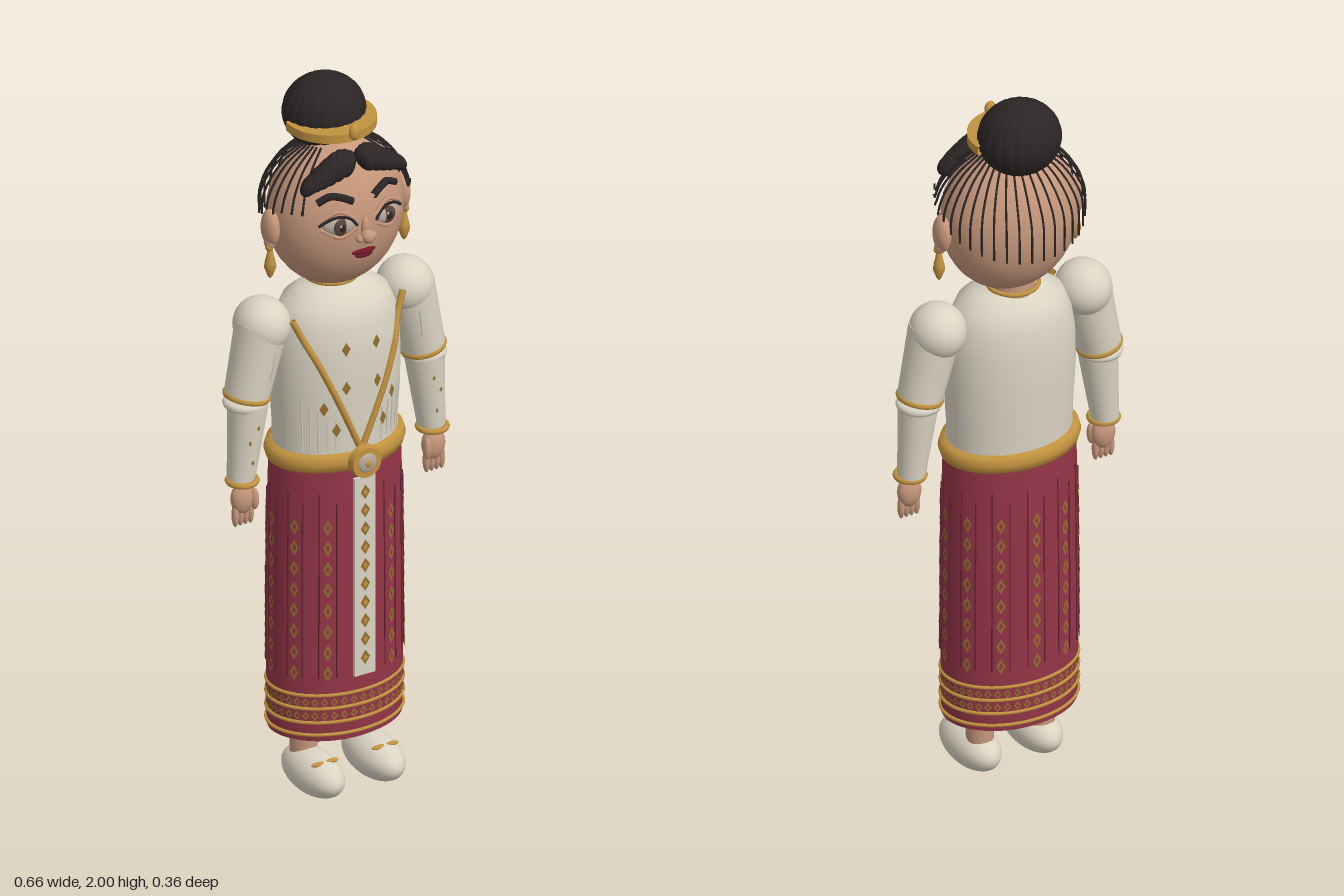
import * as THREE from 'three';

const mat = (name, color) => Object.assign(new THREE.MeshStandardMaterial({ color, side: THREE.DoubleSide }), { name });
const V = (x, y, z) => new THREE.Vector3(x, y, z);

// Body profiles as [radius, height], stretched to ellipses by DEPTH
const DEPTH = 0.74;
const TORSO = [[0.17, 0.96], [0.172, 1.05], [0.18, 1.18], [0.178, 1.28], [0.168, 1.35], [0.145, 1.4], [0.1, 1.43], [0.055, 1.445]];
const SKIRT = [[0, 0.172], [0.17, 0.172], [0.185, 0.18], [0.187, 0.35], [0.186, 0.6], [0.184, 0.85], [0.18, 0.98]];
const HEAD = { y: 1.644, a: 0.186, b: 0.207, c: 0.15 };

function radiusAt(profile, y) {
  for (let i = 1; i < profile.length; i++) {
    const [r0, y0] = profile[i - 1], [r1, y1] = profile[i];
    if (y <= y1 && y1 > y0) return r0 + (r1 - r0) * (y - y0) / (y1 - y0);
  }
  return profile[profile.length - 1][0];
}

export function createModel() {
  const skin = mat('skin', 0xc6977b), hair = mat('hair', 0x2b2525), cream = mat('cream cloth', 0xdad4c3);
  const crimson = mat('crimson cloth', 0x953547), pleat = mat('dark crimson', 0x6a2234);
  const gold = mat('gold', 0xc2933f), thread = mat('old gold thread', 0x94702f);
  const lip = mat('lip red', 0x6f1827), pale = mat('pale grey', 0xb5aa9f), iris = mat('iris', 0x5a4438);
  const model = new THREE.Group();

  const group = (name, parent = model) => {
    const g = new THREE.Group();
    g.name = name;
    parent.add(g);
    return g;
  };
  const add = (parent, name, geo, m, x = 0, y = 0, z = 0) => {
    const mesh = new THREE.Mesh(geo, m);
    mesh.name = name;
    mesh.position.set(x, y, z);
    parent.add(mesh);
    return mesh;
  };
  const ball = (parent, name, m, x, y, z, rx, ry = rx, rz = rx) => {
    const mesh = add(parent, name, new THREE.SphereGeometry(1, 32, 20), m, x, y, z);
    mesh.scale.set(rx, ry, rz);
    return mesh;
  };
  const lathe = (parent, name, pts, m, x = 0, z = 0, depth = 1, segs = 48) => {
    const mesh = add(parent, name, new THREE.LatheGeometry(pts.map(p => new THREE.Vector2(...p)), segs), m, x, 0, z);
    mesh.scale.z = depth;
    return mesh;
  };
  const tube = (parent, name, pts, r, m, segs = 14) =>
    add(parent, name, new THREE.TubeGeometry(new THREE.CatmullRomCurve3(pts), segs, r, 6), m);
  const ring = (parent, name, R, r, m, x, y, z, depth = 1) => {
    const mesh = add(parent, name, new THREE.TorusGeometry(R, r, 8, 48), m, x, y, z);
    mesh.rotation.x = Math.PI / 2;
    mesh.scale.y = depth;
    return mesh;
  };
  // Point on an elliptical body; angle 0 is the front
  const onBody = (profile, angle, y, off = 0.004) => {
    const r = radiusAt(profile, y) + off;
    return V(Math.sin(angle) * r, y, Math.cos(angle) * r * DEPTH + Math.cos(angle) * off * 0.3);
  };
  // Flat piece laid against an elliptical body
  const patch = (parent, name, geo, m, profile, angle, y, off) => {
    const mesh = add(parent, name, geo, m);
    mesh.position.copy(onBody(profile, angle, y, off));
    mesh.rotation.y = Math.atan2(Math.sin(angle) * DEPTH, Math.cos(angle));
    return mesh;
  };
  const diamond = (w, h) => new THREE.CircleGeometry(1, 4).scale(w, h, 1);
  const openDiamond = (w, h) => new THREE.RingGeometry(0.45, 1, 4).scale(w, h, 1);
  const onHead = (x, y, off = 0) => {
    const k = 1 - (x / HEAD.a) ** 2 - ((y - HEAD.y) / HEAD.b) ** 2;
    return V(x, y, HEAD.c * Math.sqrt(Math.max(0.03, k)) + off);
  };

  // Skirt with hem bands, woven columns and fine pleats
  const skirt = group('skirt');
  lathe(skirt, 'skirtBody', SKIRT, crimson, 0, 0, DEPTH, 64);
  for (const y of [0.31, 0.272, 0.232, 0.197]) ring(skirt, 'hemBand', 0.187, 0.005, gold, 0, y, 0, DEPTH);
  const hemGem = openDiamond(0.01, 0.013), woven = openDiamond(0.012, 0.023);
  for (let i = 0; i < 44; i++) {
    for (const y of [0.291, 0.252]) patch(skirt, 'hemDiamond', hemGem, thread, SKIRT, i * Math.PI / 22, y, 0.003);
  }
  for (let i = 1; i < 12; i++) {
    for (let j = 0; j < 8; j++) patch(skirt, 'wovenDiamond', woven, thread, SKIRT, i * Math.PI / 6, 0.375 + j * 0.06, 0.004);
  }
  for (let i = 1; i < 23; i++) {
    const a = (i + 0.5) * Math.PI / 12, top = 0.86 + 0.03 * (i % 2);
    const pts = [0.36, 0.5, 0.65, top].map(y => onBody(SKIRT, a, y, 0.001));
    tube(skirt, 'pleatLine', pts, 0.002, pleat, 8);
  }
  add(skirt, 'frontPanel', new THREE.BoxGeometry(0.062, 0.57, 0.009), cream, 0, 0.645, 0.145);
  for (let j = 0; j < 10; j++) {
    add(skirt, 'panelDiamond', diamond(0.014, 0.021), thread, 0, 0.41 + j * 0.053, 0.1505);
    add(skirt, 'panelDiamondCentre', diamond(0.007, 0.01), gold, 0, 0.41 + j * 0.053, 0.152);
  }

  // Bodice with crossing trim, gathers and studs
  const bodice = group('bodice');
  lathe(bodice, 'bodiceBody', TORSO, cream, 0, 0, DEPTH, 64);
  for (const s of [-1, 1]) {
    const strap = [0, 0.15, 0.3, 0.5, 0.7, 0.85, 1].map(t => {
      const x = 0.165 * (1 - t), y = 1.385 - 0.385 * t, r = radiusAt(TORSO, y) + 0.004;
      return V(s * x, y, r * DEPTH * Math.sqrt(Math.max(0.3, 1 - (x / r) ** 2)));
    });
    tube(bodice, 'neckTrim', strap, 0.009, gold, 24);
    for (const [x, y] of [[0.045, 1.3], [0.045, 1.19], [0.1, 1.135], [0.07, 1.07]]) {
      patch(bodice, 'bodiceStud', diamond(0.012, 0.02), thread, TORSO, s * Math.asin(x / 0.18), y, 0.005);
    }
    for (let i = 0; i < 5; i++) {
      const a = s * (0.4 + i * 0.14);
      tube(bodice, 'gatherFold', [1.01, 1.06, 1.1 + 0.012 * i].map(y => onBody(TORSO, a, y, 0.001)), 0.0025, cream, 6);
    }
  }

  // Belt and buckle
  const belt = group('belt');
  lathe(belt, 'beltBand', [[0.17, 0.95], [0.187, 0.953], [0.194, 0.975], [0.187, 0.997], [0.165, 1.0]], gold, 0, 0, DEPTH, 64);
  const buckle = add(belt, 'buckle', new THREE.CylinderGeometry(0.042, 0.045, 0.022, 32), gold, 0, 0.975, 0.15);
  buckle.rotation.x = Math.PI / 2;
  ball(belt, 'buckleGem', pale, 0, 0.975, 0.16, 0.027, 0.027, 0.008);
  ball(belt, 'buckleCentre', gold, 0, 0.975, 0.167, 0.01, 0.01, 0.005);

  // Neck and necklace
  add(model, 'neck', new THREE.CylinderGeometry(0.058, 0.062, 0.08, 32), skin, 0, 1.44, -0.015);
  ring(model, 'necklace', 0.066, 0.006, gold, 0, 1.446, -0.018);

  for (const s of [-1, 1]) {
    // Arm: puffed sleeve, fitted forearm, cuffs and hand
    const arm = group(s > 0 ? 'leftArm' : 'rightArm');
    ball(arm, 'shoulderPuff', cream, s * 0.214, 1.36, -0.006, 0.074, 0.075, 0.079);
    const upper = add(arm, 'upperSleeve', new THREE.CylinderGeometry(0.07, 0.059, 0.2, 32), cream, s * 0.24, 1.27, 0);
    upper.rotation.z = s * 0.23;
    const band = ring(arm, 'elbowBand', 0.054, 0.009, gold, s * 0.263, 1.172, 0);
    band.rotation.y = s * 0.2;
    ring(arm, 'elbowFrill', 0.048, 0.012, cream, s * 0.266, 1.154, 0);
    const fore = add(arm, 'forearmSleeve', new THREE.CylinderGeometry(0.053, 0.036, 0.22, 32), cream, s * 0.274, 1.045, 0.007);
    fore.rotation.z = s * 0.1;
    ring(arm, 'wristBand', 0.037, 0.008, gold, s * 0.284, 0.938, 0.013);
    for (let i = 0; i < 4; i++) {
      const x = 0.215 + i * 0.017;
      tube(arm, 'sleeveFold', [V(s * x, 1.31 - i * 0.01, 0.066 - i * 0.004), V(s * (x + 0.012), 1.23, 0.06 - i * 0.004)], 0.0025, cream, 4);
    }
    for (const [x, y, z] of [[0.262, 1.1, 0.058], [0.285, 1.06, 0.054], [0.275, 1.0, 0.051]]) {
      add(arm, 'sleeveStud', diamond(0.005, 0.008), thread, s * x, y, z);
    }
    ball(arm, 'palm', skin, s * 0.285, 0.888, 0.016, 0.033, 0.045, 0.024);
    for (let i = 0; i < 4; i++) ball(arm, 'finger', skin, s * (0.263 + i * 0.015), 0.845, 0.018, 0.009, 0.034, 0.011);
    ball(arm, 'thumb', skin, s * 0.258, 0.885, 0.032, 0.011, 0.03, 0.012);

    // Leg and slipper
    const leg = group(s > 0 ? 'leftLeg' : 'rightLeg');
    add(leg, 'ankle', new THREE.CylinderGeometry(0.036, 0.036, 0.13, 24), skin, s * 0.09, 0.14, -0.005);
    ball(leg, 'slipper', cream, s * 0.09, 0.059, 0.043, 0.062, 0.059, 0.12);
    for (const t of [-1, 1]) ball(leg, 'slipperBow', gold, s * 0.09 + t * 0.02, 0.107, 0.1, 0.02, 0.006, 0.007);
  }

  // Head and face
  const head = group('head');
  ball(head, 'skull', skin, 0, HEAD.y, 0, HEAD.a, HEAD.b, HEAD.c);
  ball(head, 'noseBridge', skin, 0, 1.65, 0.15, 0.012, 0.03, 0.012);
  ball(head, 'noseTip', skin, 0, 1.63, 0.162, 0.019, 0.019, 0.02);
  for (const [y, w] of [[1.58, 0.035], [1.57, 0.026]]) ball(head, 'lip', lip, 0, y, 0.142, w, 0.008, 0.01);
  for (const s of [-1, 1]) {
    ball(head, 'nostril', skin, s * 0.018, 1.625, 0.155, 0.012, 0.011, 0.013);
    const eye = group(s > 0 ? 'leftEye' : 'rightEye', head);
    const z = onHead(0.072, 1.668).z;
    ball(eye, 'eyeball', pale, s * 0.072, 1.668, z, 0.041, 0.026, 0.014).rotation.y = s * 0.35;
    ball(eye, 'iris', iris, s * 0.07, 1.668, z + 0.01, 0.021, 0.024, 0.009);
    ball(eye, 'pupil', hair, s * 0.07, 1.668, z + 0.016, 0.01, 0.012, 0.005);
    ball(eye, 'glint', pale, s * 0.07 - 0.006, 1.676, z + 0.02, 0.004, 0.004, 0.002);
    const curve = (pts, off) => pts.map(([x, y]) => { const p = onHead(x, y, off); p.x *= s; return p; });
    tube(eye, 'lashLine', curve([[0.028, 1.668], [0.048, 1.69], [0.075, 1.696], [0.1, 1.688], [0.122, 1.672]], 0.011), 0.004, hair);
    tube(eye, 'upperLid', curve([[0.03, 1.685], [0.07, 1.708], [0.118, 1.685]], 0.008), 0.006, skin);
    tube(eye, 'lowerLid', curve([[0.028, 1.66], [0.07, 1.638], [0.118, 1.662]], 0.008), 0.005, skin);
    tube(eye, 'eyebrow', curve([[0.03, 1.729], [0.055, 1.741], [0.085, 1.746], [0.116, 1.73]], 0.005), 0.01, hair);
    // Ear and drop earring
    ball(head, 'ear', skin, s * 0.195, 1.638, 0.005, 0.022, 0.052, 0.032);
    ball(head, 'earLobe', skin, s * 0.199, 1.598, 0.008, 0.014, 0.018, 0.018);
    ball(head, 'earStud', gold, s * 0.203, 1.588, 0.012, 0.011);
    lathe(head, 'earDrop', [[0, 1.496], [0.007, 1.505], [0.016, 1.53], [0.014, 1.545], [0.009, 1.565], [0.007, 1.585]], gold, s * 0.2, 0.012, 1, 16);
  }

  // Hair: ribbed bun, parted fringe and loose strands
  const hairdo = group('hairdo');
  const bunGeo = new THREE.SphereGeometry(1, 120, 32), p = bunGeo.attributes.position;
  for (let i = 0; i < p.count; i++) {
    const x = p.getX(i), z = p.getZ(i), k = 1 - 0.03 * Math.abs(Math.cos(10 * Math.atan2(z, x))) ** 8;
    p.setXYZ(i, x * k, p.getY(i) - 0.04 * Math.exp(-80 * (x * x + z * z)) * Math.sign(p.getY(i)), z * k);
  }
  bunGeo.computeVertexNormals();
  add(hairdo, 'bun', bunGeo, hair, 0, 1.9, -0.052).scale.set(0.11, 0.1, 0.104);
  for (const s of [-1, 1]) {
    for (let i = 0; i < 7; i++) {
      const t = i / 6;
      const lock = ball(hairdo, 'fringeLock', hair, s * (0.026 + 0.1 * t), 1.82 - 0.04 * t * t, 0.104 - 0.016 * t,
        0.02, 0.036 + 0.016 * Math.sin(Math.PI * t), 0.026);
      lock.rotation.set(-0.35, 0, s * (0.45 + 0.4 * t));
    }
  }
  const STRANDS = 27;
  for (let i = 0; i < STRANDS; i++) {
    const a = (i / (STRANDS - 1) - 0.5) * Math.PI * 1.4, back = Math.cos(a), sx = Math.sin(a);
    const at = (f, y, out = 0) => V(sx * (HEAD.a * f + out * 0.5), y, -back * (HEAD.c * f + out * 1.5));
    const end = 1.675 - 0.08 * back;
    tube(hairdo, 'strand', [at(0.42, 1.845), at(0.75, 1.8, 0.004), at(0.95, 1.745, 0.01), at(1.02, 1.7, 0.015),
      at(1.02, end, 0.017)], 0.003, hair, 16);
  }

  // Tiara: half band around the front of the bun
  const tiara = group('tiara');
  add(tiara, 'tiaraBand', new THREE.CylinderGeometry(0.12, 0.12, 0.024, 48, 1, false, -Math.PI * 0.56, Math.PI * 1.12), gold, 0, 1.888, -0.023);
  ball(tiara, 'tiaraCrest', gold, 0, 1.902, 0.098, 0.016, 0.023, 0.012);
  return model;
}
